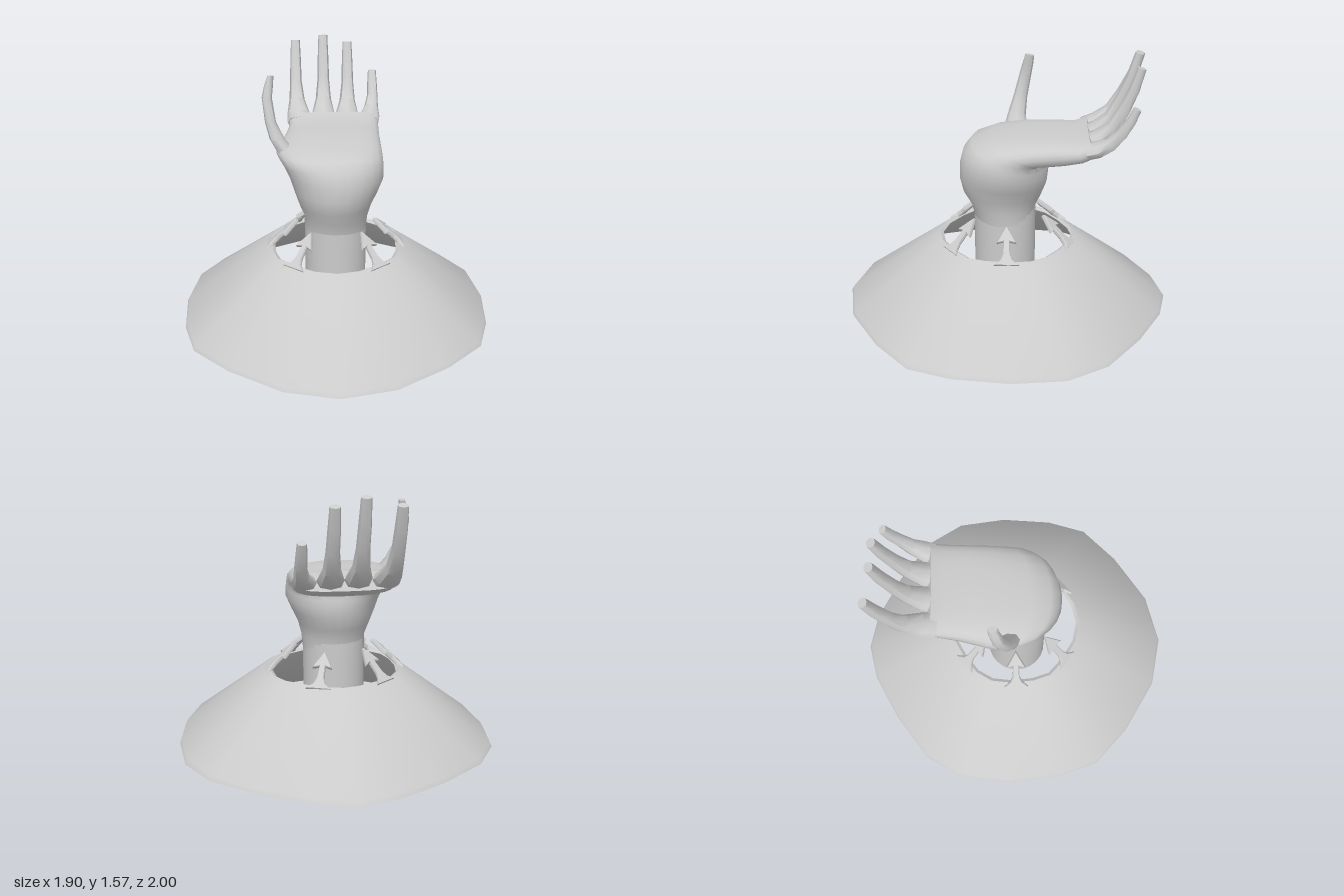
import * as THREE from 'three';
import { toCreasedNormals } from 'three/addons/utils/BufferGeometryUtils.js';

const material = new THREE.MeshStandardMaterial({ color: 0xcccccc });

// Skin a list of equally sized rings, optionally capping both ends
function loft(rings, caps = true, crease = 0.7) {
  const n = rings[0].length, pos = [], index = [];
  rings.forEach(r => r.forEach(p => pos.push(p.x, p.y, p.z)));
  for (let i = 0; i < rings.length - 1; i++) {
    for (let j = 0; j < n; j++) {
      const a = i * n + j, b = i * n + (j + 1) % n;
      index.push(a, a + n, b + n, a, b + n, b);
    }
  }
  if (caps) {
    [0, rings.length - 1].forEach((k, end) => {
      const c = new THREE.Vector3();
      rings[k].forEach(p => c.addScaledVector(p, 1 / n));
      const id = pos.length / 3;
      pos.push(c.x, c.y, c.z);
      for (let j = 0; j < n; j++) {
        const a = k * n + j, b = k * n + (j + 1) % n;
        if (end) index.push(id, b, a); else index.push(id, a, b);
      }
    });
  }
  const g = new THREE.BufferGeometry();
  g.setAttribute('position', new THREE.Float32BufferAttribute(pos, 3));
  g.setIndex(index);
  return toCreasedNormals(g, crease);
}

// Oval ring from x0 to x1, spanning the side points f and b given as z, y
function section([fz, fy, bz, by, x0, x1, power = 1], sides) {
  const soft = v => Math.sign(v) * Math.pow(Math.abs(v), power);
  return Array.from({ length: sides }, (_, j) => {
    const a = (j / sides) * Math.PI * 2, c = soft(Math.cos(a)), s = soft(Math.sin(a));
    return new THREE.Vector3(
      (x0 + x1) / 2 + c * (x1 - x0) / 2,
      (fy + by) / 2 + s * (fy - by) / 2,
      (fz + bz) / 2 + s * (fz - bz) / 2);
  });
}

// Tapered digit along points of x, y, z, width, depth
function digit(points, sides = 8) {
  return loft(points.map(([x, y, z, w, d], i) => {
    const p = points[Math.max(i - 1, 0)], q = points[Math.min(i + 1, points.length - 1)];
    const ty = q[1] - p[1], tz = q[2] - p[2], k = d / 2 / Math.hypot(ty, tz);
    return section([z + ty * k, y - tz * k, z - ty * k, y + tz * k, x - w / 2, x + w / 2, 0.85], sides);
  }), true, 0.9);
}

export function createModel() {
  const model = new THREE.Group();
  const add = (name, geometry, parent = model) => {
    const mesh = new THREE.Mesh(geometry, material);
    mesh.name = name;
    parent.add(mesh);
    return mesh;
  };

  // Hollow conical base with a slightly uneven rim
  const half = [[0, -1], [0.22, -0.95], [0.5, -0.8], [0.77, -0.6], [0.91, -0.37], [0.95, -0.06],
    [0.92, 0.27], [0.84, 0.52], [0.62, 0.73], [0.31, 0.93], [0, 1]];
  const outline = [...half, ...half.slice(1, -1).reverse().map(([x, z]) => [-x, z])];
  const profile = [[0.955, 0], [1, 0], [0.985, 0.025], [0.43, 0.432], [0.415, 0.437],
    [0.395, 0.425], [0.41, 0.405], [0.955, 0]];
  add('base', loft(profile.map(([s, y]) =>
    outline.map(([x, z]) => new THREE.Vector3(x * s, y, z * s))), false));

  // Post rising through the opening
  const post = add('post', toCreasedNormals(new THREE.CylinderGeometry(0.187, 0.187, 0.62, 24), 0.7));
  post.position.set(0, 0.31, 0.012);

  // Arrow-shaped prongs leaning in from the opening
  const side = [[0.075, -0.01], [0.035, 0.025], [0.022, 0.06], [0.018, 0.135], [0.058, 0.125]];
  const arrow = new THREE.Shape([...side, [0, 0.235], ...side.slice().reverse().map(([x, y]) => [-x, y])]
    .map(([x, y]) => new THREE.Vector2(x, y)));
  const prongGeometry = new THREE.ExtrudeGeometry(arrow, {
    depth: 0.014, bevelEnabled: true, bevelThickness: 0.008, bevelSize: 0.005, bevelOffset: -0.005, bevelSegments: 1,
  }).translate(0, 0, -0.007);
  [-2, 52, 128, 180, 231, 290].forEach(deg => {
    const holder = new THREE.Group();
    holder.name = 'prongHolder';
    holder.rotation.y = Math.PI / 2 - THREE.MathUtils.degToRad(deg);
    const prong = add('prong', prongGeometry, holder);
    prong.position.set(0, 0.43, 0.405);
    prong.rotation.x = -0.82;
    model.add(holder);
  });

  // Wrist bending back into a level, upturned palm
  const palm = [
    [0.195, 0.56, -0.17, 0.56, -0.188, 0.188],
    [0.215, 0.645, -0.175, 0.64, -0.19, 0.195],
    [0.265, 0.73, -0.21, 0.71, -0.22, 0.215],
    [0.285, 0.82, -0.24, 0.79, -0.25, 0.255],
    [0.28, 0.91, -0.247, 0.855, -0.275, 0.288],
    [0.26, 0.99, -0.243, 0.90, -0.305, 0.288, 0.95],
    [0.21, 1.045, -0.235, 0.93, -0.335, 0.285, 0.9],
    [0.09, 1.075, -0.235, 0.942, -0.355, 0.283, 0.82],
    [-0.08, 1.10, -0.27, 0.945, -0.33, 0.283, 0.75],
    [-0.25, 1.11, -0.36, 0.96, -0.30, 0.283, 0.7],
    [-0.40, 1.11, -0.45, 0.985, -0.283, 0.287, 0.7],
    [-0.475, 1.13, -0.53, 1.03, -0.285, 0.287, 0.65],
  ];
  add('palm', loft(palm.map(s => section(s, 24)), true, 0.9));

  // Four fingers curling upward: base x, tip x, height, reach, width
  const curl = [[0, 0, 0.16, 0.1], [0.07, 0.035, 0.148, 0.1], [0.15, 0.11, 0.1, 0.088],
    [0.21, 0.23, 0.076, 0.075], [0.26, 0.36, 0.07, 0.065], [0.298, 0.5, 0.058, 0.052]];
  [[-0.213, -0.24, 0.46, 1.1, 1], [-0.065, -0.06, 0.5, 1, 1],
    [0.085, 0.098, 0.455, 1, 1], [0.22, 0.262, 0.27, 0.9, 0.9]].forEach(([x0, x1, height, reach, w]) => {
    add('finger', digit(curl.map(([dz, dy, width, depth]) => [
      THREE.MathUtils.lerp(x0, x1, Math.min(1, dz / 0.2)),
      1.065 + dy * height / 0.5, -0.46 - dz * reach, width * w, depth * w])));
  });

  // Thumb standing at the side of the palm
  add('thumb', digit([
    [-0.27, 0.99, -0.04, 0.12, 0.16], [-0.345, 1.1, -0.05, 0.09, 0.11], [-0.383, 1.2, -0.07, 0.066, 0.085],
    [-0.402, 1.34, -0.1, 0.06, 0.072], [-0.39, 1.41, -0.115, 0.052, 0.065], [-0.378, 1.465, -0.125, 0.036, 0.055]]));

  return model;
}
